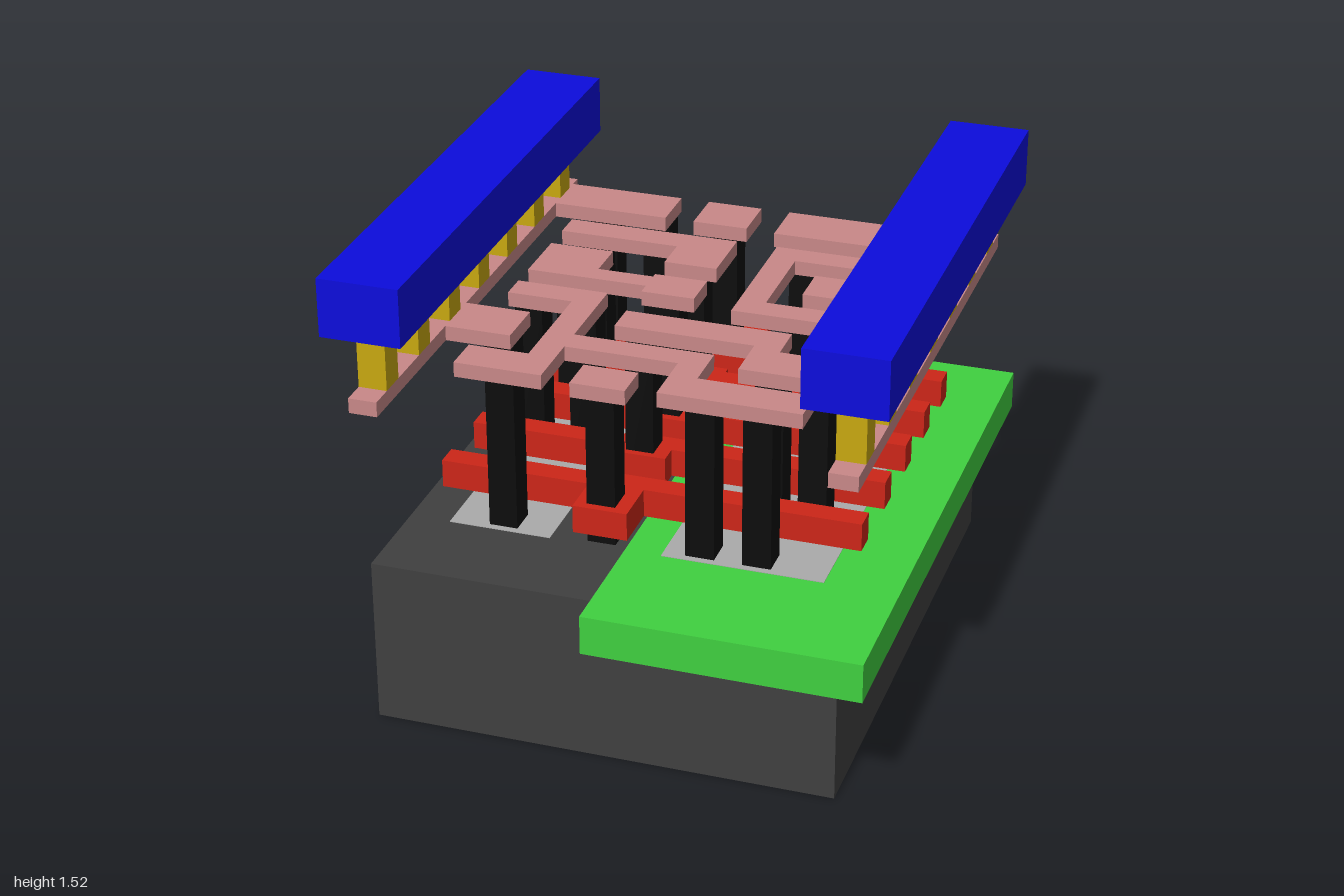
import * as THREE from 'three';

const mat = (color) => new THREE.MeshStandardMaterial({ color, flatShading: true });

export function createModel() {
  const group = new THREE.Group();
  const dark = mat(0x404040), green = mat(0x40d040), grey = mat(0xaaaaaa), black = mat(0x0d0d0d);
  const red = mat(0xcc2618), pink = mat(0xc88888), gold = mat(0xc8a810), blue = mat(0x0c0cdc);

  // Box given by its lower and upper corners
  function box(name, material, x0, x1, y0, y1, z0, z1) {
    const mesh = new THREE.Mesh(new THREE.BoxGeometry(x1 - x0, y1 - y0, z1 - z0), material);
    mesh.position.set((x0 + x1) / 2, (y0 + y1) / 2, (z0 + z1) / 2);
    mesh.name = name;
    group.add(mesh);
  }

  // Flat plate with a plan outline of [x, z] corners
  function plate(name, material, y0, y1, outline) {
    const shape = new THREE.Shape(outline.map(([x, z]) => new THREE.Vector2(x, -z)));
    const geo = new THREE.ExtrudeGeometry(shape, { depth: y1 - y0, bevelEnabled: false });
    geo.rotateX(-Math.PI / 2);
    const mesh = new THREE.Mesh(geo, material);
    mesh.position.y = y0;
    mesh.name = name;
    group.add(mesh);
  }

  // Base block, the well let into it and the two doped areas
  box('substrate', dark, -0.755, 0.755, 0, 0.56, -0.9, 0.9);
  box('well', green, -0.03, 0.86, 0.43, 0.562, -1, 1);
  box('leftDiffusion', grey, -0.62, -0.28, 0.5, 0.562, -0.82, 0.58);
  box('rightDiffusion', grey, 0.09, 0.62, 0.5, 0.564, -0.82, 0.58);

  // Gate bars, each with a wider contact pad: [left z, right z, pad z0, pad z1, pad right x]
  const gates = [
    [-0.68, -0.68, -0.84, -0.6, 0.02],
    [-0.445, -0.445, -0.47, -0.33, -0.02],
    [-0.2, -0.2, -0.2, -0.06, -0.02],
    [0.08, 0.06, 0.06, 0.205, -0.02],
    [0.355, 0.34, 0.34, 0.585, -0.02],
  ];
  for (const [l, r, p0, p1, px] of gates) {
    plate('gate', red, 0.6, 0.695, [
      [-0.7, l], [-0.2, l], [-0.2, p0], [px, p0], [px, r], [0.695, r],
      [0.695, r + 0.08], [px, r + 0.08], [px, p1], [-0.2, p1], [-0.2, l + 0.08], [-0.7, l + 0.08],
    ]);
  }

  // Contact pillars by row: [z, x positions]
  const rows = [
    [-0.755, [-0.545, -0.355, -0.11, 0.17, 0.355, 0.54]],
    [-0.51, [-0.5, 0.245, 0.445]],
    [-0.4, [-0.115]],
    [-0.28, [-0.5, 0.36, 0.54]],
    [-0.135, [-0.115]],
    [0, [-0.54, -0.355, 0.5]],
    [0.135, [-0.115]],
    [0.255, [-0.545, 0.355, 0.5]],
    [0.51, [-0.445, -0.115, 0.21, 0.395]],
  ];
  const h = 0.047;
  for (const [z, xs] of rows)
    for (const x of xs) box('contactPillar', black, x - h, x + h, 0.56, 1.08, z - h, z + h);

  // Metal traces
  const rect = (x0, x1, z0, z1) => [[x0, z0], [x1, z0], [x1, z1], [x0, z1]];
  const traces = [
    rect(-0.72, -0.31, -0.85, -0.675),
    rect(-0.21, -0.02, -0.85, -0.675),
    rect(0.08, 0.72, -0.85, -0.665),
    rect(0.305, 0.72, -0.385, -0.235),
    rect(-0.72, -0.49, 0.16, 0.34),
    rect(-0.2, -0.02, 0.46, 0.59),
    [[-0.61, -0.565], [-0.02, -0.565], [-0.02, -0.335], [-0.2, -0.335], [-0.2, -0.465], [-0.61, -0.465]],
    [[-0.61, -0.36], [-0.39, -0.36], [-0.39, -0.215], [-0.2, -0.215], [-0.2, -0.235], [-0.02, -0.235],
      [-0.02, -0.095], [-0.2, -0.095], [-0.2, -0.14], [-0.61, -0.14]],
    [[0.12, -0.565], [0.52, -0.565], [0.52, -0.475], [0.21, -0.475], [0.21, -0.14], [0.545, -0.14],
      [0.545, 0.045], [0.455, 0.045], [0.455, -0.05], [0.12, -0.05]],
    [[-0.61, -0.05], [-0.3, -0.05], [-0.3, 0.27], [0.165, 0.27], [0.165, 0.44], [0.54, 0.44], [0.54, 0.57],
      [0.075, 0.57], [0.075, 0.36], [-0.3, 0.36], [-0.3, 0.57], [-0.59, 0.57], [-0.59, 0.44],
      [-0.39, 0.44], [-0.39, 0.045], [-0.61, 0.045]],
    [[-0.2, 0.055], [0.355, 0.055], [0.355, 0.19], [0.55, 0.19], [0.55, 0.34], [0.265, 0.34],
      [0.265, 0.17], [-0.2, 0.17]],
  ];
  for (const t of traces) plate('metalTrace', pink, 1.08, 1.13, t);

  // Power rails on both sides: lower strip, row of posts, upper bar
  for (const s of [-1, 1]) {
    const side = s < 0 ? 'right' : 'left';
    const span = (a, b) => (s < 0 ? [-b, -a] : [a, b]);
    box(side + 'RailStrip', pink, ...span(0.71, 0.803), 1.08, 1.13, -0.895, 0.895);
    box(side + 'RailBar', blue, ...span(0.622, 0.887), 1.325, 1.52, -0.895, 0.895);
    for (let i = -3; i <= 3; i++) {
      const z = i * 0.256;
      box(side + 'RailPost', gold, ...span(0.71, 0.803), 1.13, 1.325, z - 0.046, z + 0.046);
    }
  }
  return group;
}
